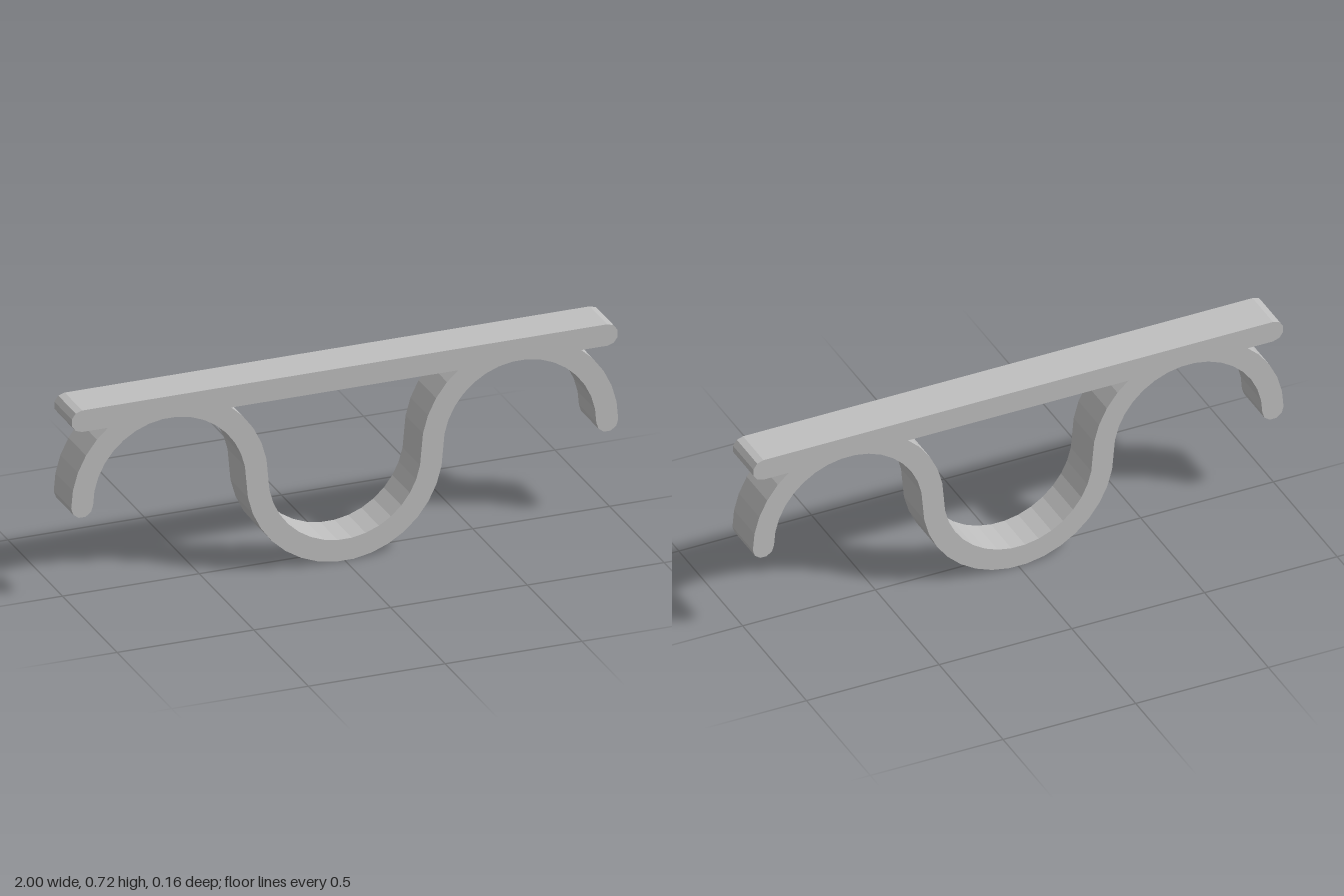
import * as THREE from 'three';

const HALF = 0.04;     // half thickness of every strip
const RADIUS = 0.32;   // centreline radius of the wave
const MID = 0.36;      // height of the wave's arc centres
const DEPTH = 0.16;

// Points on an arc, angles in half turns
function arc(cx, cy, r, from, to, steps) {
  return Array.from({ length: steps + 1 }, (_, i) => {
    const a = Math.PI * (from + (to - from) * i / steps);
    return new THREE.Vector2(cx + r * Math.cos(a), cy + r * Math.sin(a));
  });
}

function strip(name, points, material) {
  // Drop doubled points where arcs meet
  const outline = points.filter((p, i) => p.distanceTo(points[(i + 1) % points.length]) > 1e-5);
  const geometry = new THREE.ExtrudeGeometry(new THREE.Shape(outline), { depth: DEPTH, bevelEnabled: false });
  geometry.translate(0, 0, -DEPTH / 2);
  const mesh = new THREE.Mesh(geometry, material);
  mesh.name = name;
  return mesh;
}

// One edge of the wave: arch, trough, arch
function waveEdge(offset) {
  return [
    ...arc(-2 * RADIUS, MID, RADIUS + offset, 1, 0, 17),
    ...arc(0, MID, RADIUS - offset, 1, 2, 17),
    ...arc(2 * RADIUS, MID, RADIUS + offset, 1, 0, 17),
  ];
}

export function createModel() {
  const group = new THREE.Group();
  group.name = 'waveBracket';
  const grey = new THREE.MeshStandardMaterial({ color: 0xbfbfbf });
  grey.name = 'grey';

  // Straight bar with rounded ends
  group.add(strip('topBar', [
    ...arc(0.96, 0.68, HALF, -0.5, 0.5, 5),
    ...arc(-0.96, 0.68, HALF, 0.5, 1.5, 5),
  ], grey));

  // Wavy strip with rounded tips
  group.add(strip('waveStrip', [
    ...waveEdge(HALF),
    ...arc(3 * RADIUS, MID, HALF, 0, -1, 5),
    ...waveEdge(-HALF).reverse(),
    ...arc(-3 * RADIUS, MID, HALF, 0, -1, 5),
  ], grey));

  return group;
}
